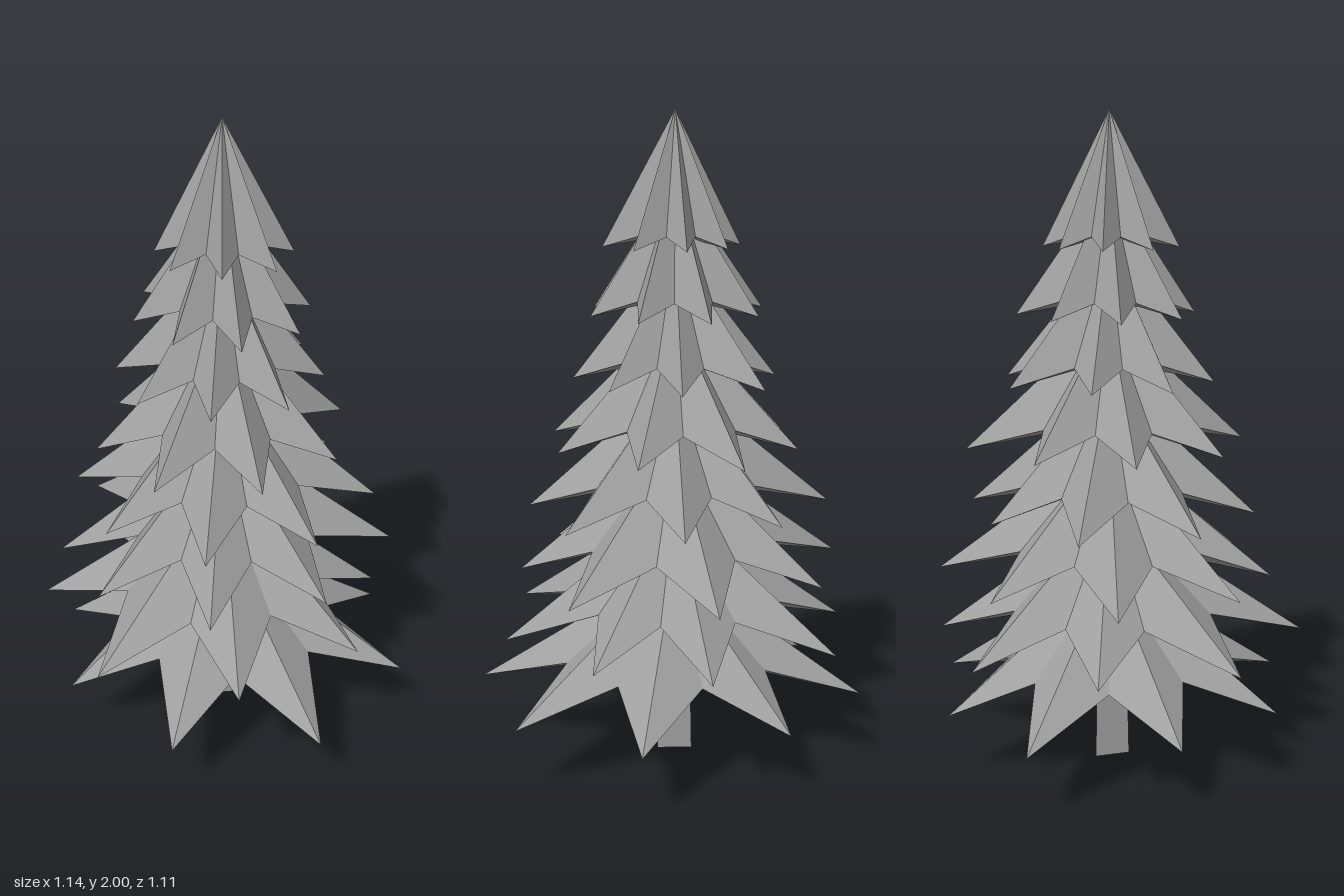
import * as THREE from 'three';

const AXIS_X = -0.035, AXIS_Z = -0.028;

// Each tier, top to bottom: tip angles in degrees (0 = +x, 90 = +z) and tip radii
const TIERS = [
  { a: [22, 67, 112, 157, 202, 247, 292, 337], r: [0.22, 0.21, 0.21, 0.2, 0.2, 0.19, 0.2, 0.21] },
  { a: [10, 55, 100, 145, 190, 235, 280, 325], r: [0.27, 0.27, 0.26, 0.27, 0.29, 0.27, 0.28, 0.27] },
  { a: [28, 73, 118, 163, 206, 253, 298, 340], r: [0.31, 0.31, 0.32, 0.33, 0.31, 0.35, 0.32, 0.31] },
  { a: [5, 50, 95, 140, 185, 230, 275, 317], r: [0.39, 0.4, 0.42, 0.4, 0.38, 0.39, 0.44, 0.4] },
  { a: [28, 73, 118, 163, 207, 253, 298, 343], r: [0.45, 0.46, 0.45, 0.47, 0.48, 0.42, 0.44, 0.48] },
  { a: [26, 71, 116, 150, 194, 240, 288, 336], r: [0.48, 0.5, 0.5, 0.52, 0.54, 0.5, 0.53, 0.54] },
  { a: [16, 62, 106, 156, 200, 242, 290, 330], r: [0.54, 0.58, 0.6, 0.58, 0.54, 0.56, 0.53, 0.5] },
  { a: [-7, 38, 82, 129, 174, 220, 262, 311], r: [0.605, 0.62, 0.59, 0.55, 0.54, 0.59, 0.535, 0.575] },
];

// Star-shaped cone: drooping tips, raised notches and a hollow underside
function starCone({ a, r }, tipY, notchY, apexY) {
  const rim = [];
  const point = (deg, radius, y) => {
    const t = THREE.MathUtils.degToRad(deg);
    return [radius * Math.cos(t), y, radius * Math.sin(t)];
  };
  a.forEach((angle, i) => {
    const j = (i + 1) % a.length;
    const next = j === 0 ? a[0] + 360 : a[j];
    rim.push(point(angle, r[i], tipY));
    rim.push(point((angle + next) / 2, 0.57 * (r[i] + r[j]) / 2, notchY));
  });
  const apex = [0, apexY, 0], hollow = [0, notchY, 0], pos = [];
  rim.forEach((p, i) => {
    const q = rim[(i + 1) % rim.length];
    pos.push(...apex, ...q, ...p, ...hollow, ...p, ...q);
  });
  const geo = new THREE.BufferGeometry();
  geo.setAttribute('position', new THREE.Float32BufferAttribute(pos, 3));
  geo.computeVertexNormals();
  return geo;
}

export function createModel() {
  const grey = new THREE.MeshStandardMaterial({ color: 0xa0a0a0 });
  grey.name = 'grey';

  const tree = new THREE.Group();
  tree.name = 'firTree';

  // Three-sided trunk with one edge toward +x
  const trunkGeo = new THREE.CylinderGeometry(0.055, 0.063, 0.36, 3, 1, false, Math.PI / 2).toNonIndexed();
  trunkGeo.computeVertexNormals();
  const trunk = new THREE.Mesh(trunkGeo, grey);
  trunk.name = 'trunk';
  trunk.position.set(AXIS_X, 0.18, AXIS_Z);
  tree.add(trunk);

  // Eight overlapping branch tiers
  const branches = new THREE.Group();
  branches.name = 'branches';
  branches.position.set(AXIS_X, 0, AXIS_Z);
  TIERS.forEach((tier, i) => {
    const tipY = 1.6 - 0.199 * i;
    const notchY = tipY + 0.035 + 0.01 * i;
    const mesh = new THREE.Mesh(starCone(tier, tipY, notchY, tipY + 0.4), grey);
    mesh.name = `branchTier${i + 1}`;
    branches.add(mesh);
  });
  tree.add(branches);

  return tree;
}
